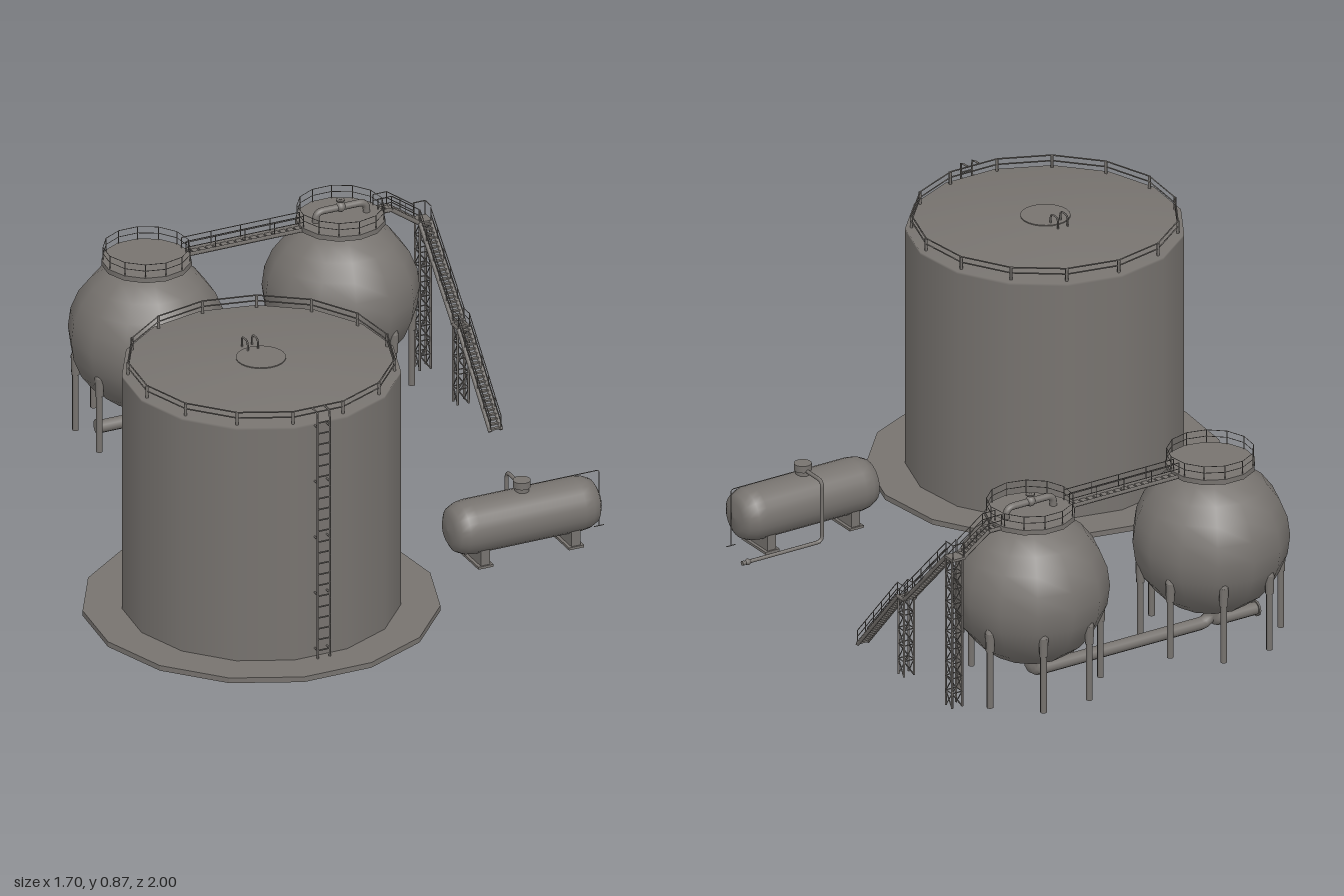
import * as THREE from 'three';

const steel = new THREE.MeshStandardMaterial({ color: 0x77736f, side: THREE.DoubleSide });
steel.name = 'grey steel';

const V = (x, y, z) => new THREE.Vector3(x, y, z);

function add(parent, name, geometry, x = 0, y = 0, z = 0) {
  const mesh = new THREE.Mesh(geometry, steel);
  mesh.name = name;
  mesh.position.set(x, y, z);
  parent.add(mesh);
  return mesh;
}

function group(parent, name, x = 0, y = 0, z = 0) {
  const g = new THREE.Group();
  g.name = name;
  g.position.set(x, y, z);
  parent.add(g);
  return g;
}

// Straight bar between two points
function rod(parent, name, a, b, r, sides = 6) {
  const mesh = add(parent, name, new THREE.CylinderGeometry(r, r, a.distanceTo(b), sides));
  mesh.position.copy(a).add(b).multiplyScalar(0.5);
  mesh.quaternion.setFromUnitVectors(V(0, 1, 0), b.clone().sub(a).normalize());
  return mesh;
}

// Pipe along points, with rounded elbows and closed ends
function pipe(parent, name, pts, r, bend, sides = 10) {
  const path = new THREE.CurvePath();
  let from = pts[0];
  for (let i = 1; i < pts.length - 1; i++) {
    const p = pts[i];
    const p0 = p.clone().add(pts[i - 1].clone().sub(p).setLength(bend));
    const p1 = p.clone().add(pts[i + 1].clone().sub(p).setLength(bend));
    path.add(new THREE.LineCurve3(from, p0));
    path.add(new THREE.QuadraticBezierCurve3(p0, p, p1));
    from = p1;
  }
  const end = pts[pts.length - 1];
  path.add(new THREE.LineCurve3(from, end));
  add(parent, name, new THREE.TubeGeometry(path, 48, r, sides));
  [[pts[0], pts[1]], [end, pts[pts.length - 2]]].forEach(([a, b]) =>
    rod(parent, name + 'End', a, a.clone().add(b.clone().sub(a).setLength(0.006)), r * 1.25, sides));
}

// Polygonal guard rail with posts; one vertex faces +z
function guardRail(parent, radius, y, height, sides, postR, railR) {
  const g = group(parent, 'guardRail', 0, y, 0);
  for (const h of [height, height * 0.55]) {
    const ring = new THREE.TorusGeometry(radius, railR, 4, sides);
    add(g, 'rail', ring.rotateX(Math.PI / 2).rotateY(-Math.PI / 2), 0, h, 0);
  }
  for (let i = 0; i < sides; i++) {
    const a = (i / sides) * Math.PI * 2;
    add(g, 'post', new THREE.CylinderGeometry(postR, postR, height, 5),
      Math.sin(a) * radius, height / 2, Math.cos(a) * radius);
  }
  return g;
}

// Walkway or stair flight from a to b, with stringers, treads and handrails
function walkway(parent, name, a, b, width, treads, posts) {
  const g = group(parent, name);
  const dir = b.clone().sub(a);
  const side = V(-dir.z, 0, dir.x).setLength(width / 2);
  const alongX = Math.abs(dir.x) > Math.abs(dir.z);
  const step = (dir.length() / treads) * 0.75;
  for (const s of [-1, 1]) {
    const off = side.clone().multiplyScalar(s);
    const p = a.clone().add(off), q = b.clone().add(off);
    rod(g, 'stringer', p, q, 0.007, 4);
    for (const h of [0.025, 0.045]) rod(g, 'handrail', p.clone().setY(p.y + h), q.clone().setY(q.y + h), 0.0015, 4);
    for (let i = 0; i <= posts; i++) {
      const f = p.clone().lerp(q, i / posts);
      rod(g, 'railPost', f, f.clone().setY(f.y + 0.045), 0.0015, 4);
    }
  }
  for (let i = 0; i < treads; i++) {
    const c = a.clone().lerp(b, (i + 0.5) / treads);
    add(g, 'tread', new THREE.BoxGeometry(alongX ? step : width, 0.005, alongX ? width : step), c.x, c.y, c.z);
  }
}

// Braced four-post support tower
function tower(parent, x, z, w, d, height, bays) {
  const g = group(parent, 'supportTower', x, 0, z);
  const c = [[-1, -1], [1, -1], [1, 1], [-1, 1]].map(([i, k]) => V(i * w / 2, 0, k * d / 2));
  c.forEach((p, i) => {
    const q = c[(i + 1) % 4];
    rod(g, 'post', p, p.clone().setY(height), 0.004, 4);
    for (let n = 0; n < bays; n++) {
      const y0 = (n / bays) * height, y1 = ((n + 1) / bays) * height;
      rod(g, 'brace', p.clone().setY(n % 2 ? y1 : y0), q.clone().setY(n % 2 ? y0 : y1), 0.0022, 4);
      rod(g, 'crossBar', p.clone().setY(y1), q.clone().setY(y1), 0.0022, 4);
    }
  });
}

function storageTank(root) {
  const g = group(root, 'storageTank', -0.315, 0, 0.473);
  const N = 15, R = 0.419;
  // Foundation ring
  const poly = (r) => Array.from({ length: N }, (_, i) => {
    const a = (i / N) * Math.PI * 2;
    return new THREE.Vector2(Math.sin(a) * r, Math.cos(a) * r);
  });
  const ring = new THREE.Shape(poly(0.537));
  ring.holes.push(new THREE.Path(poly(0.403)));
  add(g, 'foundationRing', new THREE.ExtrudeGeometry(ring, { depth: 0.017, bevelEnabled: false }).rotateX(-Math.PI / 2), 0, 0.007, 0);
  // Wall, and a roof whose shading rolls over the rim
  const lathe = (pts) => new THREE.LatheGeometry(pts.map(([r, y]) => new THREE.Vector2(r, y)), N).rotateY(Math.PI);
  add(g, 'wall', lathe([[R, 0.02], [R, 0.79]]));
  add(g, 'roof', lathe([[R, 0.79], [R, 0.798], [0.22, 0.82], [0.075, 0.829], [0, 0.83]]));
  add(g, 'roofHatch', new THREE.CylinderGeometry(0.075, 0.075, 0.006, 24), 0, 0.829, 0);
  guardRail(g, 0.4, 0.8, 0.04, N, 0.005, 0.0025).rotation.y = Math.PI;
  // Grab hoops on the roof
  for (const x of [-0.017, 0.017])
    pipe(g, 'grabHoop', [V(x, 0.82, -0.095), V(x, 0.862, -0.095), V(x, 0.862, -0.055), V(x, 0.82, -0.055)], 0.003, 0.015, 6);
  // Ladder
  const ladder = group(g, 'ladder');
  for (const x of [-0.02, 0.02]) {
    pipe(ladder, 'ladderRail', [V(x, 0.024, 0.43), V(x, 0.84, 0.43), V(x, 0.84, 0.395)], 0.003, 0.008, 6);
    for (let i = 0; i < 5; i++) rod(ladder, 'bracket', V(x, 0.05 + i * 0.185, 0.43), V(x, 0.05 + i * 0.185, 0.4), 0.003, 5);
  }
  for (let i = 0; i < 22; i++) rod(ladder, 'rung', V(-0.02, 0.05 + i * 0.036, 0.43), V(0.02, 0.05 + i * 0.036, 0.43), 0.0025, 5);
}

function sphereTank(root, x, z) {
  const g = group(root, 'sphereTank', x, 0, z);
  const shell = new THREE.SphereGeometry(0.238, 13, 12).rotateY(-Math.PI / 2);
  add(g, 'shell', shell, 0, 0.322, 0);
  add(g, 'platform', new THREE.CylinderGeometry(0.136, 0.136, 0.016, 13), 0, 0.556, 0);
  guardRail(g, 0.131, 0.56, 0.046, 13, 0.0015, 0.0012);
  for (let i = 0; i < 8; i++) {
    const a = ((i + 0.5) / 8) * Math.PI * 2;
    const lx = Math.sin(a) * 0.213, lz = Math.cos(a) * 0.213;
    add(g, 'leg', new THREE.CylinderGeometry(0.01, 0.01, 0.2, 8), lx, 0.1, lz);
    add(g, 'legSleeve', new THREE.CylinderGeometry(0.015, 0.013, 0.06, 8), lx, 0.215, lz);
    add(g, 'legCone', new THREE.CylinderGeometry(0.004, 0.015, 0.035, 8), lx, 0.262, lz);
  }
}

function pressureVessel(root) {
  const g = group(root, 'pressureVessel', 0.55, 0, 0.472);
  // Shell with domed ends
  const profile = [[0, -0.247], [0.045, -0.243], [0.068, -0.23], [0.08, -0.205], [0.084, -0.175]];
  const pts = [...profile, ...profile.map(([r, y]) => [r, -y]).reverse()].map(([r, y]) => new THREE.Vector2(r, y));
  add(g, 'shell', new THREE.LatheGeometry(pts, 24).rotateZ(Math.PI / 2), 0, 0.12, 0);
  for (const x of [-0.15, 0.15]) {
    add(g, 'saddle', new THREE.BoxGeometry(0.03, 0.065, 0.12), x, 0.04, 0);
    add(g, 'saddleFoot', new THREE.BoxGeometry(0.05, 0.008, 0.13), x, 0.008, 0);
  }
  add(g, 'manhole', new THREE.CylinderGeometry(0.022, 0.022, 0.04, 14), 0, 0.21, 0);
  add(g, 'manholeLid', new THREE.CylinderGeometry(0.027, 0.027, 0.022, 14), 0, 0.226, 0);
  // Outlet pipe with end valve, and a fine gauge line
  pipe(g, 'outletPipe', [V(0, 0.218, 0), V(0, 0.218, -0.105), V(0, 0.02, -0.105), V(0.285, 0.02, -0.105)], 0.006, 0.018, 8);
  add(g, 'valve', new THREE.SphereGeometry(0.01, 8, 6), 0.265, 0.02, -0.105);
  pipe(g, 'gaugeLine', [V(0, 0.215, 0), V(0.256, 0.215, 0), V(0.256, 0.03, 0)], 0.0015, 0.008, 5);
  rod(g, 'gaugeTap', V(0.24, 0.03, 0), V(0.272, 0.03, 0), 0.0015, 5);
}

export function createModel() {
  const root = new THREE.Group();
  root.name = 'tankFarm';
  const Z = -0.764, L = -0.095, R = 0.547;
  storageTank(root);
  pressureVessel(root);
  sphereTank(root, L, Z);
  sphereTank(root, R, Z);

  // Feed pipes beneath the spheres
  pipe(root, 'feedPipe', [V(R, 0.11, Z), V(R, 0.038, Z), V(L, 0.038, Z), V(L, 0.11, Z)], 0.02, 0.04);
  pipe(root, 'feedStub', [V(L, 0.1, Z), V(L, 0.038, Z), V(-0.26, 0.038, Z)], 0.02, 0.04);

  // Vent hoop and valve on top of one sphere
  pipe(root, 'ventPipe', [V(0.465, 0.555, Z), V(0.465, 0.597, Z), V(0.633, 0.597, Z), V(0.633, 0.555, Z)], 0.011, 0.025);
  add(root, 'ventValve', new THREE.SphereGeometry(0.016, 10, 8), R, 0.598, Z);
  rod(root, 'valveStem', V(R, 0.598, Z), V(R, 0.623, Z), 0.004);
  rod(root, 'valveWheel', V(R, 0.618, Z), V(R, 0.622, Z), 0.014, 10);

  // Bridge, connecting steps, landings and stairs
  walkway(root, 'bridge', V(0.03, 0.553, Z - 0.004), V(0.42, 0.553, Z - 0.004), 0.03, 16, 4);
  walkway(root, 'topWalk', V(0.67, 0.553, -0.778), V(0.715, 0.553, -0.778), 0.035, 3, 1);
  walkway(root, 'topSteps', V(0.715, 0.553, -0.778), V(0.805, 0.49, -0.778), 0.035, 8, 2);
  add(root, 'upperLanding', new THREE.BoxGeometry(0.045, 0.008, 0.045), 0.825, 0.49, -0.778);
  walkway(root, 'upperStair', V(0.825, 0.49, -0.757), V(0.825, 0.258, -0.53), 0.036, 22, 5);
  walkway(root, 'middleLanding', V(0.825, 0.255, -0.535), V(0.825, 0.255, -0.493), 0.036, 3, 1);
  walkway(root, 'lowerStair', V(0.825, 0.255, -0.493), V(0.825, 0.01, -0.275), 0.036, 22, 5);
  for (const x of [0.806, 0.844]) rod(root, 'landingPost', V(x, 0.49, -0.798), V(x, 0.54, -0.798), 0.002, 4);
  rod(root, 'landingRail', V(0.806, 0.54, -0.798), V(0.844, 0.54, -0.798), 0.002, 4);
  rod(root, 'landingSideRail', V(0.844, 0.54, -0.798), V(0.844, 0.54, -0.757), 0.002, 4);
  tower(root, 0.825, -0.774, 0.036, 0.034, 0.49, 10);
  tower(root, 0.825, -0.513, 0.036, 0.03, 0.255, 5);
  return root;
}
